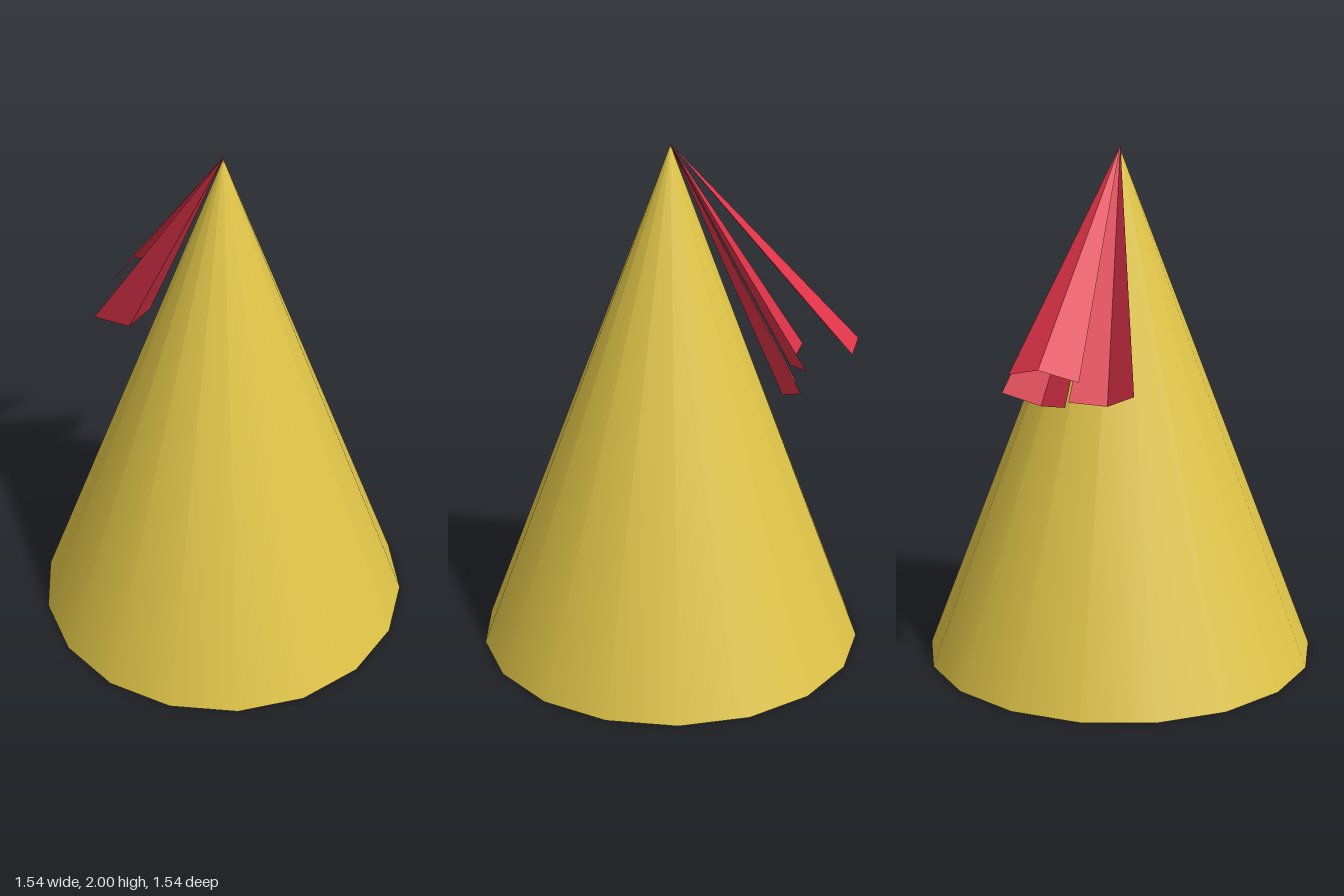
import * as THREE from 'three';

const SIDES = 18;
const RADIUS = 0.773;
const WALL = 0.012;
const TURN = THREE.MathUtils.degToRad(14.5);

export function createModel() {
  const group = new THREE.Group();
  const yellow = new THREE.MeshStandardMaterial({ color: 0xdfc448 });
  const yellowInside = new THREE.MeshStandardMaterial({ color: 0xdfc448, side: THREE.BackSide });
  const red = new THREE.MeshStandardMaterial({ color: 0xdd3348, flatShading: true, side: THREE.DoubleSide });

  const add = (name, geometry, material) => {
    const mesh = new THREE.Mesh(geometry, material);
    mesh.name = name;
    group.add(mesh);
    return mesh;
  };

  // Hollow paper cone: outer wall, inner wall and the thin rim between them
  const wall = (radius, height) =>
    new THREE.ConeGeometry(radius, height, SIDES, 1, true, TURN).translate(0, height / 2, 0);
  add('coneOuterWall', wall(RADIUS, 1.99), yellow);
  add('coneInnerWall', wall(RADIUS - WALL, 1.96), yellowInside);
  const rim = new THREE.RingGeometry(RADIUS - WALL, RADIUS, SIDES, 1, Math.PI / 2 - TURN);
  add('coneRim', rim.rotateX(Math.PI / 2), yellow);

  // Creased ribbons: each is two triangles fanning out from the tip
  const tip = [0.004, 2, 0.004];
  const ribbons = {
    upperRibbon: [[-0.37, 1.215, -0.6], [-0.495, 1.245, -0.54], [-0.545, 1.2, -0.41]],
    leftRibbon: [[-0.13, 1.105, -0.54], [-0.19, 1.055, -0.41], [-0.325, 1.07, -0.37]],
    rightRibbon: [[-0.38, 1.1, -0.38], [-0.44, 1.085, -0.255], [-0.575, 1.14, -0.215]],
  };
  for (const [name, [a, crease, b]] of Object.entries(ribbons)) {
    const geometry = new THREE.BufferGeometry();
    const corners = [tip, a, crease, tip, crease, b].flat();
    geometry.setAttribute('position', new THREE.Float32BufferAttribute(corners, 3));
    geometry.computeVertexNormals();
    add(name, geometry, red);
  }

  return group;
}
